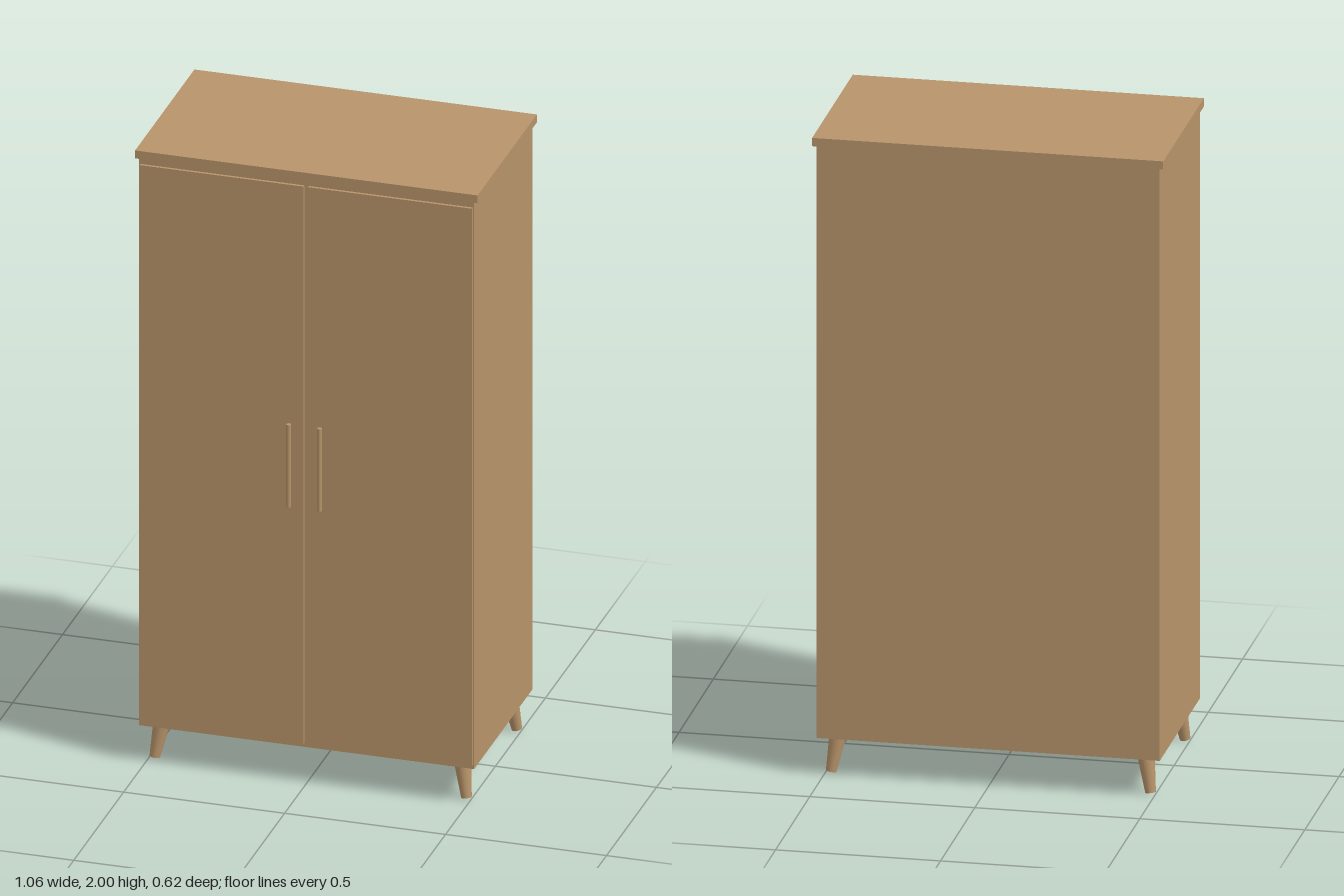
import * as THREE from 'three';

export function createModel() {
  const group = new THREE.Group();
  group.name = 'wardrobe';
  const wood = new THREE.MeshStandardMaterial({ color: 0xb8946a });
  wood.name = 'wood';

  const add = (name, geometry) => {
    const mesh = new THREE.Mesh(geometry, wood);
    mesh.name = name;
    group.add(mesh);
    return mesh;
  };

  // box given by its lower and upper corners
  const box = (name, [x0, y0, z0], [x1, y1, z1]) =>
    add(name, new THREE.BoxGeometry(x1 - x0, y1 - y0, z1 - z0))
      .position.set((x0 + x1) / 2, (y0 + y1) / 2, (z0 + z1) / 2);

  // carcass and overhanging top
  box('cabinetBody', [-0.52, 0.118, -0.306], [0.52, 1.974, 0.279]);
  box('topPanel', [-0.532, 1.974, -0.312], [0.532, 2, 0.282]);

  // doors and their upright bar handles
  box('leftDoor', [0.007, 0.131, 0.279], [0.516, 1.957, 0.288]);
  box('rightDoor', [-0.516, 0.131, 0.279], [-0.007, 1.957, 0.288]);
  for (const side of [1, -1]) {
    add(side > 0 ? 'leftHandle' : 'rightHandle', new THREE.CylinderGeometry(0.0075, 0.0075, 0.27, 16))
      .position.set(side * 0.048, 1.045, 0.304);
  }

  // splayed, tapered legs
  const up = new THREE.Vector3(0, 1, 0);
  for (const sx of [1, -1]) {
    for (const sz of [1, -1]) {
      const top = new THREE.Vector3(sx * 0.465, 0.124, -0.013 + sz * 0.234);
      const foot = new THREE.Vector3(sx * 0.484, 0.0035, -0.013 + sz * 0.252);
      const axis = top.clone().sub(foot);
      const leg = add((sz > 0 ? 'front' : 'back') + (sx > 0 ? 'Left' : 'Right') + 'Leg',
        new THREE.CylinderGeometry(0.027, 0.016, axis.length(), 20));
      leg.position.copy(top).add(foot).multiplyScalar(0.5);
      leg.quaternion.setFromUnitVectors(up, axis.normalize());
    }
  }

  return group;
}
